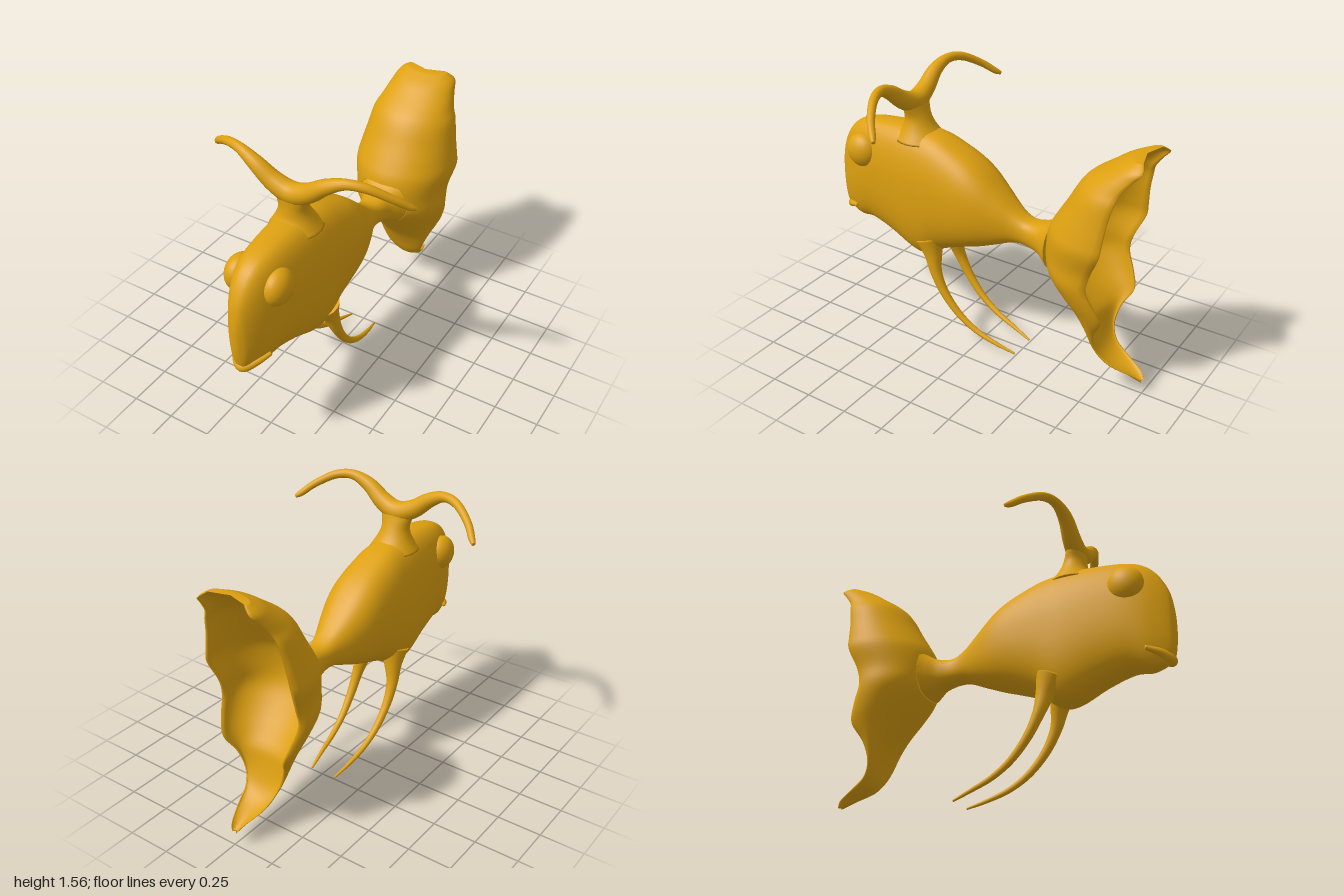
import * as THREE from 'three';

const material = new THREE.MeshStandardMaterial({ color: 0xdda010 });

// Smoothly resample rows of numbers (Catmull-Rom on every column)
function refine(rows, steps) {
  const out = [];
  const last = rows.length - 1;
  for (let i = 0; i < last; i++) {
    const [a, b, c, d] = [rows[Math.max(i - 1, 0)], rows[i], rows[i + 1], rows[Math.min(i + 2, last)]];
    for (let s = 0; s < steps; s++) {
      const t = s / steps;
      out.push(b.map((_, k) => 0.5 * (2 * b[k] + (c[k] - a[k]) * t
        + (2 * a[k] - 5 * b[k] + 4 * c[k] - d[k]) * t * t
        + (3 * b[k] - a[k] - 3 * c[k] + d[k]) * t * t * t)));
    }
  }
  out.push(rows[last]);
  return out;
}

// Skin closed rings of points (counter-clockwise around the direction of travel), with caps
function loft(name, rings) {
  const n = rings[0].length;
  const points = rings.flat();
  const index = [];
  for (let i = 0; i < rings.length - 1; i++) {
    for (let j = 0; j < n; j++) {
      const k = (j + 1) % n;
      const a = i * n + j, b = i * n + k, c = a + n, d = b + n;
      index.push(a, b, d, a, d, c);
    }
  }
  [0, rings.length - 1].forEach((r, end) => {
    const centre = new THREE.Vector3();
    rings[r].forEach((p) => centre.addScaledVector(p, 1 / n));
    points.push(centre);
    for (let j = 0; j < n; j++) {
      const a = r * n + j, b = r * n + (j + 1) % n;
      index.push(points.length - 1, end ? a : b, end ? b : a);
    }
  });
  const geometry = new THREE.BufferGeometry().setFromPoints(points);
  geometry.setIndex(index);
  geometry.computeVertexNormals();
  const mesh = new THREE.Mesh(geometry, material);
  mesh.name = name;
  return mesh;
}

// Round tube with changing thickness; rows are [x, y, z, radius]
function taperedTube(name, rows, sides = 16) {
  const fine = refine(rows, 8);
  const curve = new THREE.CatmullRomCurve3(fine.map((r) => new THREE.Vector3(r[0], r[1], r[2])));
  const centres = curve.points;
  const normal = new THREE.Vector3(), side = new THREE.Vector3(0.3, 0.2, 1).normalize();
  const rings = centres.map((p, i) => {
    const tangent = centres[Math.min(i + 1, centres.length - 1)].clone()
      .sub(centres[Math.max(i - 1, 0)]).normalize();
    normal.copy(side).addScaledVector(tangent, -side.dot(tangent)).normalize();
    side.copy(normal);
    const binormal = tangent.clone().cross(normal);
    return Array.from({ length: sides }, (_, j) => {
      const a = (j / sides) * Math.PI * 2;
      return p.clone().addScaledVector(normal, Math.cos(a) * fine[i][3])
        .addScaledVector(binormal, Math.sin(a) * fine[i][3]);
    });
  });
  return loft(name, rings);
}

const power = (v, e) => Math.sign(v) * Math.abs(v) ** e;

// Deep, slab-sided body narrowing to the tail stem; rows are [z, top, bottom, half width]
function makeBody() {
  const rows = [
    [-0.45, 0.92, 0.65, 0.16], [-0.41, 0.89, 0.67, 0.125], [-0.36, 0.87, 0.695, 0.092],
    [-0.28, 0.862, 0.712, 0.075], [-0.2, 0.9, 0.71, 0.088], [-0.1, 0.985, 0.67, 0.13],
    [0, 1.075, 0.63, 0.165], [0.1, 1.14, 0.595, 0.181], [0.25, 1.205, 0.535, 0.185],
    [0.35, 1.23, 0.468, 0.184], [0.45, 1.24, 0.472, 0.18], [0.6, 1.237, 0.54, 0.165],
    [0.75, 1.222, 0.585, 0.145], [0.85, 1.19, 0.575, 0.12], [0.92, 1.125, 0.59, 0.088],
    [0.97, 1.03, 0.62, 0.055], [0.99, 0.94, 0.69, 0.03], [0.998, 0.87, 0.76, 0.012],
  ];
  return loft('body', refine(rows, 5).map(([z, top, bottom, w]) =>
    Array.from({ length: 48 }, (_, j) => {
      const a = (j / 48) * Math.PI * 2;
      return new THREE.Vector3(w * power(Math.cos(a), 0.75),
        (top + bottom) / 2 + (top - bottom) / 2 * power(Math.sin(a), 0.9), z);
    })));
}

// Hollow tail fin open to the back; rows are [y, spine z, rim z, half width]
function makeTail() {
  const rows = [
    [0.085, -0.97, -1.0, 0.015], [0.12, -0.88, -0.97, 0.04], [0.165, -0.79, -0.87, 0.08],
    [0.22, -0.75, -0.79, 0.1], [0.3, -0.715, -0.755, 0.13], [0.4, -0.66, -0.77, 0.17],
    [0.5, -0.58, -0.82, 0.215], [0.6, -0.5, -0.79, 0.25], [0.7, -0.435, -0.75, 0.272],
    [0.8, -0.415, -0.77, 0.272], [0.92, -0.43, -0.82, 0.295], [1.0, -0.47, -0.83, 0.285],
    [1.1, -0.53, -0.84, 0.265], [1.2, -0.585, -0.86, 0.245], [1.26, -0.635, -0.88, 0.218],
    [1.33, -0.73, -0.93, 0.192], [1.38, -0.8, -0.97, 0.17], [1.418, -0.88, -0.95, 0.12],
  ];
  const steps = 28, reach = 1.85;
  return loft('tailFin', refine(rows, 4).map(([y, spine, rim, w]) => {
    const wall = Math.min(0.05, (spine - rim) * 0.4);
    const ring = [];
    for (const inner of [0, 1]) {
      for (let j = 0; j <= steps; j++) {
        const a = (inner ? -1 : 1) * reach * (2 * j / steps - 1);
        const f = (1 - Math.cos(a)) / (1 - Math.cos(reach));
        const front = spine - inner * wall;
        ring.push(new THREE.Vector3(w * (1 - 0.07 * inner) * Math.sin(a), y, front + (rim - front) * f));
      }
    }
    return ring;
  }));
}

// Flared stalk under the horns; rows are [y, half width, half depth, z]
function makeStalk() {
  const rows = [
    [1.17, 0.14, 0.15, 0.44], [1.24, 0.1, 0.092, 0.445], [1.3, 0.083, 0.068, 0.455],
    [1.36, 0.098, 0.055, 0.465], [1.41, 0.11, 0.045, 0.47], [1.435, 0.05, 0.02, 0.47],
  ];
  return loft('hornStalk', refine(rows, 5).map(([y, hx, hz, z]) =>
    Array.from({ length: 24 }, (_, j) => {
      const a = (j / 24) * Math.PI * 2;
      return new THREE.Vector3(hx * Math.sin(a), y, z + hz * Math.cos(a));
    })));
}

export function createModel() {
  const model = new THREE.Group();
  model.name = 'hornedFish';
  model.add(makeBody(), makeTail(), makeStalk());

  // Drooping horns: one bar through the stalk, mirrored about the middle
  const horn = [
    [0.1, 1.415, 0.475, 0.052], [0.2, 1.488, 0.48, 0.041], [0.3, 1.531, 0.465, 0.028],
    [0.4, 1.521, 0.43, 0.024], [0.5, 1.464, 0.37, 0.021], [0.56, 1.41, 0.315, 0.018],
    [0.585, 1.392, 0.29, 0.01],
  ];
  const mirrored = horn.map(([x, y, z, r]) => [-x, y, z, r]).reverse();
  model.add(taperedTube('horns', [...mirrored, [0, 1.38, 0.47, 0.058], ...horn]));

  // Lower lip
  model.add(taperedTube('lip', [
    [-0.105, 0.67, 0.85, 0.012], [-0.06, 0.645, 0.92, 0.022], [0, 0.617, 0.958, 0.03],
    [0.06, 0.645, 0.92, 0.022], [0.105, 0.67, 0.85, 0.012],
  ]));

  for (const [label, s] of [['left', 1], ['right', -1]]) {
    // Bulging eye
    const eye = new THREE.Mesh(new THREE.SphereGeometry(1, 32, 20), material);
    eye.name = label + 'Eye';
    eye.scale.set(0.075, 0.1, 0.1);
    eye.position.set(s * 0.11, 1.05, 0.77);
    model.add(eye);

    // Long feeler sweeping backwards below the belly
    model.add(taperedTube(label + 'Feeler', [
      [0.09, 0.6, 0.33, 0.085], [0.105, 0.51, 0.3, 0.052], [0.122, 0.4, 0.268, 0.033],
      [0.125, 0.28, 0.205, 0.025], [0.12, 0.17, 0.11, 0.02], [0.112, 0.095, 0.0, 0.016],
      [0.1, 0.048, -0.12, 0.012], [0.08, 0.01, -0.24, 0.006],
    ].map(([x, y, z, r]) => [s * x, y, z, r])));
  }
  return model;
}
